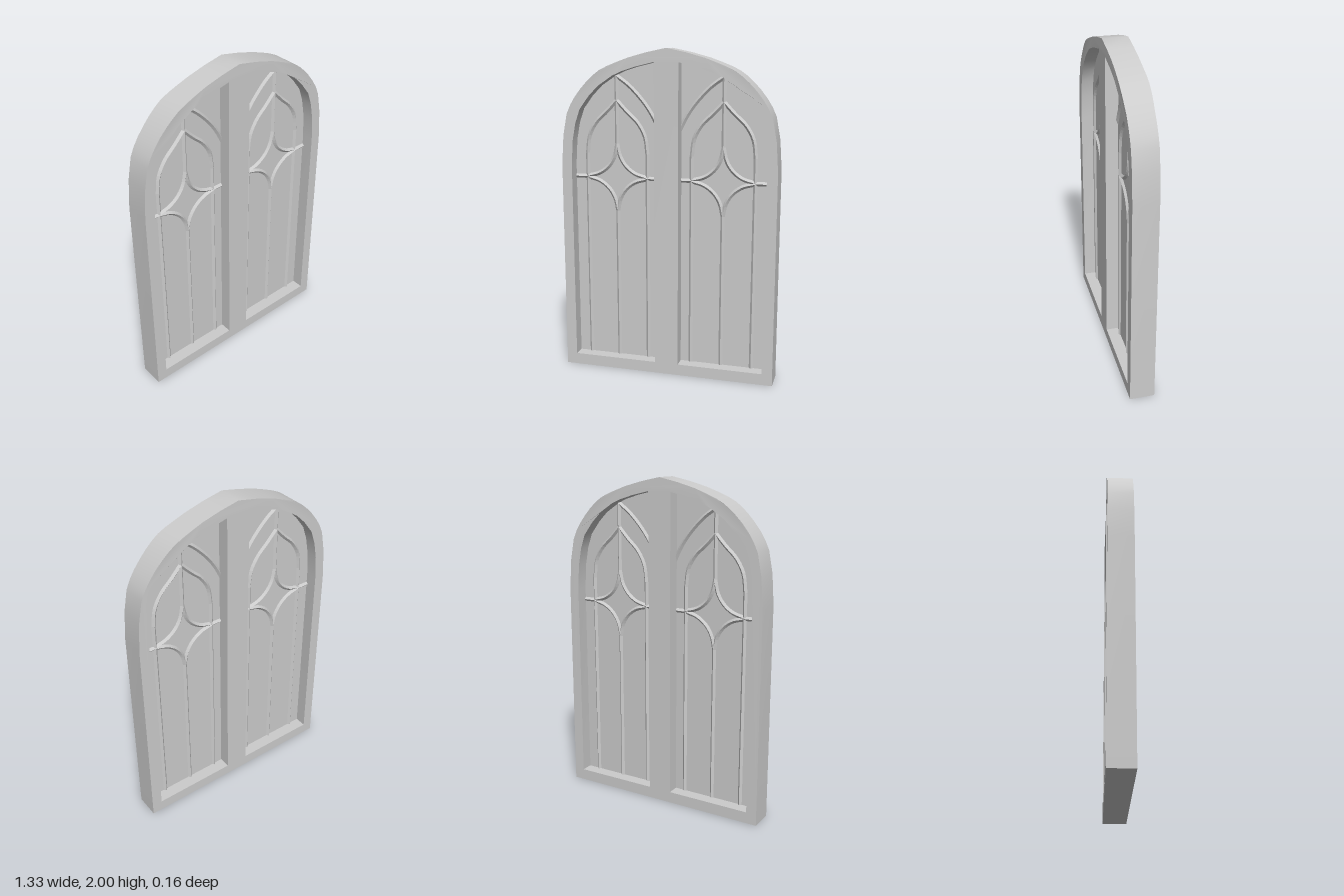
import * as THREE from 'three';
import { toCreasedNormals } from 'three/addons/utils/BufferGeometryUtils.js';

const DEPTH = 0.15;
const BAR = 0.013;
const MID = 0.33; // centre line of each light

// Half outline from the crown down, and one opening
const OUTER = [[0, 2], [0.12, 1.975], [0.23, 1.945], [0.3, 1.92], [0.36, 1.896], [0.41, 1.871], [0.45, 1.842],
  [0.49, 1.806], [0.53, 1.764], [0.57, 1.713], [0.6, 1.665], [0.625, 1.61], [0.65, 1.48], [0.663, 1.3], [0.665, 0]];
const OPENING = [[0.074, 0.07], [0.074, 1.92], [0.19, 1.892], [0.275, 1.865], [0.33, 1.84], [0.42, 1.78],
  [0.48, 1.72], [0.54, 1.64], [0.57, 1.555], [0.59, 1.45], [0.6, 1.3], [0.6, 0.07]];

const flip = (pts) => pts.map(([x, y]) => [-x, y]);
const vec2 = (pts) => pts.map(([x, y]) => new THREE.Vector2(x, y));

// Diamond-section glazing bar through the given points
function bar(name, pts, material) {
  const path = pts.map(([x, y]) => new THREE.Vector3(x, y, 0));
  const straight = path.length === 2;
  const curve = straight ? new THREE.LineCurve3(path[0], path[1]) : new THREE.CatmullRomCurve3(path);
  const mesh = new THREE.Mesh(new THREE.TubeGeometry(curve, straight ? 1 : 14, BAR, 4), material);
  mesh.name = name;
  return mesh;
}

export function createModel() {
  const model = new THREE.Group();
  model.name = 'archedWindow';
  const stone = new THREE.MeshStandardMaterial({ color: 0xcccccc });
  const lead = new THREE.MeshStandardMaterial({ color: 0xcccccc, flatShading: true, side: THREE.DoubleSide });
  const pane = new THREE.MeshStandardMaterial({ color: 0xcccccc, side: THREE.DoubleSide });

  // Frame: clockwise outline, counter-clockwise openings
  const outline = new THREE.Shape(vec2([...OUTER, ...flip(OUTER.slice(1)).reverse()]));
  for (const pts of [[...OPENING].reverse(), flip(OPENING)]) outline.holes.push(new THREE.Path(vec2(pts)));
  const frameGeo = new THREE.ExtrudeGeometry(outline, { depth: DEPTH, bevelEnabled: false });
  frameGeo.translate(0, 0, -DEPTH / 2);

  // Slight swelling at the haunches of the arch
  const pos = frameGeo.attributes.position;
  for (let i = 0; i < pos.count; i++) {
    if (pos.getY(i) < 1.79) continue;
    const d = (Math.abs(pos.getX(i)) - 0.41) / 0.1;
    pos.setZ(i, pos.getZ(i) * (1 + 0.05 * Math.exp(-d * d)));
  }
  const frame = new THREE.Mesh(toCreasedNormals(frameGeo, Math.PI / 6), stone);
  frame.name = 'frame';
  model.add(frame);

  for (const side of [1, -1]) {
    const light = new THREE.Group();
    light.name = side > 0 ? 'leftLight' : 'rightLight';
    const place = (pts) => (side > 0 ? pts : flip(pts));
    const add = (name, pts) => light.add(bar(name, place(pts), lead));

    // Glass in the middle of the frame depth
    const glass = new THREE.Mesh(new THREE.ShapeGeometry(new THREE.Shape(vec2(place(OPENING)))), pane);
    glass.name = 'glass';
    light.add(glass);

    // Central bar, broken by the star, and the upper branch running into the mullion
    add('lowerCentreBar', [[MID, 0.06], [MID, 1.03]]);
    add('upperCentreBar', [[MID, 1.4], [MID, 1.845]]);
    add('branchBar', [[MID, 1.838], [0.25, 1.78], [0.16, 1.685], [0.105, 1.605], [0.055, 1.505]]);

    for (const s of [1, -1]) {
      // Side bar, pointed arch and horizontal stub
      const at = (dx) => MID + s * dx;
      add('sideBar', [[at(0.192), 0.06], [at(0.192), 1.37]]);
      add('pointedArch', [[at(0.192), 1.37], [at(0.176), 1.48], [at(0.13), 1.562], [at(0.063), 1.626], [MID, 1.693]]);
      add('crossBar', [[at(0.18), 1.223], [s > 0 ? 0.605 : 0.065, 1.223]]);
      // Concave sides of the four-pointed star
      for (const v of [1, -1]) {
        add('starSide', [[0, 0.208], [0.018, 0.13], [0.055, 0.07], [0.115, 0.025], [0.192, 0.003]]
          .map(([dx, dy]) => [at(dx), 1.223 + v * dy]));
      }
    }
    model.add(light);
  }
  return model;
}
